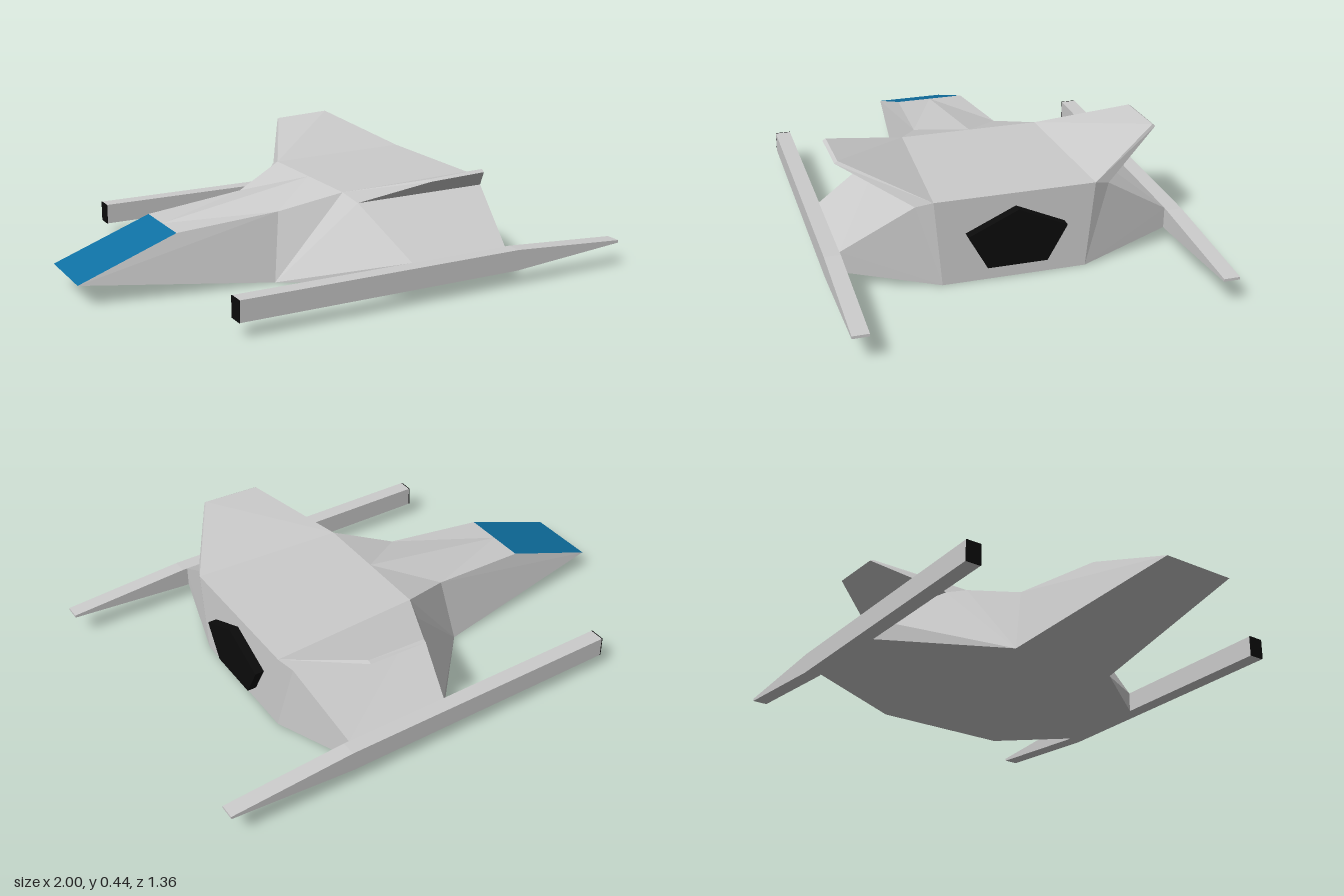
import * as THREE from 'three';
import { ConvexGeometry } from 'three/addons/geometries/ConvexGeometry.js';

const material = (color) => new THREE.MeshStandardMaterial({ color, flatShading: true });
const grey = material(0xcccccc);
const blue = material(0x0f71a3);
const black = material(0x0b0b0b);

// Flat polygons as triangle fans, each triangle turned to face away from `inside`
function faceted(polygons, inside) {
  const positions = [];
  const normal = new THREE.Vector3();
  for (const polygon of polygons) {
    const p = polygon.map((c) => new THREE.Vector3(...c));
    for (let i = 1; i < p.length - 1; i++) {
      const tri = new THREE.Triangle(p[0], p[i], p[i + 1]);
      tri.getNormal(normal);
      const order = normal.dot(p[0].clone().sub(inside)) < 0
        ? [tri.a, tri.c, tri.b] : [tri.a, tri.b, tri.c];
      order.forEach((v) => positions.push(v.x, v.y, v.z));
    }
  }
  const g = new THREE.BufferGeometry();
  g.setAttribute('position', new THREE.Float32BufferAttribute(positions, 3));
  g.computeVertexNormals();
  return g;
}

const mirrored = (polygon) => polygon.map(([x, y, z]) => [x, y, -z]);

// Side profile in x and y, extruded along z
function extrudeProfile(points, depth) {
  const shape = new THREE.Shape(points.map(([x, y]) => new THREE.Vector2(x, y)));
  return new THREE.ExtrudeGeometry(shape, { depth, bevelEnabled: false });
}

export function createModel() {
  const model = new THREE.Group();
  model.name = 'shuttle';
  const add = (name, geometry, mat) => {
    const mesh = new THREE.Mesh(geometry, mat);
    mesh.name = name;
    model.add(mesh);
    return mesh;
  };

  // Hull corners on one side
  const nose = [-1, 0.085, 0.14], windowTop = [-0.62, 0.225, 0.14];
  const waistTop = [-0.22, 0.26, 0.17], waistBottom = [-0.26, 0, 0.22];
  const shoulder = [0, 0.33, 0.27], shoulderRear = [0.59, 0.33, 0.3];
  const rootFront = [0.02, 0.305, 0.35], rootRear = [0.565, 0.31, 0.36];
  const podFrontTop = [0.09, 0.14, 0.62], podFrontBottom = [0.09, 0.06, 0.62];
  const podRearTop = [0.5, 0.14, 0.62], podRearBottom = [0.5, 0.06, 0.62];
  const tailBottom = [0.59, 0, 0.27];
  // Centre line
  const noseMid = [-1, 0.085, 0], ridgeFront = [-0.62, 0.225, 0];
  const ridgeRear = [0, 0.33, 0], tailTopMid = [0.59, 0.33, 0];
  const tailBottomMid = [0.59, 0, 0], bellyMid = [-0.26, 0, 0];

  const half = [
    [nose, waistBottom, waistTop, windowTop], // nose side
    [waistBottom, podFrontBottom, podFrontTop, rootFront, shoulder, waistTop], // front flare
    [rootFront, podFrontTop, podRearTop, rootRear], // sloping flank
    [podFrontTop, podFrontBottom, podRearBottom, podRearTop], // outer edge
    [tailBottom, podRearBottom, podRearTop, rootRear, shoulderRear], // rear flare
    [shoulder, rootFront, rootRear, shoulderRear], // fin root
    [waistTop, windowTop, ridgeFront, ridgeRear, shoulder], // neck top
    [ridgeRear, shoulder, shoulderRear, tailTopMid], // roof
    [tailTopMid, shoulderRear, tailBottom, tailBottomMid], // stern
    [noseMid, nose, waistBottom, bellyMid], // chin
    [bellyMid, waistBottom, tailBottom, tailBottomMid], // belly
    [waistBottom, podFrontBottom, podRearBottom, tailBottom], // wing underside
  ];
  const inside = new THREE.Vector3(0, 0.15, 0);
  add('hull', faceted([...half, ...half.map(mirrored)], inside), grey);

  // Cockpit window across the sloping nose
  add('cockpitWindow', faceted(
    [[nose, windowTop, ...mirrored([windowTop, nose])]], inside), blue);

  // Fins and nacelles on both sides
  const fin = [
    shoulder, shoulderRear, rootFront, rootRear,
    [0.17, 0.435, 0.595], [0.4, 0.445, 0.595],
    [0.17, 0.428, 0.607], [0.4, 0.436, 0.607],
  ];
  const nacelleProfile = [
    [-0.62, 0.06], [0.52, 0.06], [1, 0.097], [1, 0.107], [0.52, 0.14], [-0.62, 0.14],
  ];
  for (const side of [1, -1]) {
    const label = side > 0 ? 'left' : 'right';
    add(label + 'Fin', new ConvexGeometry(
      fin.map(([x, y, z]) => new THREE.Vector3(x, y, z * side))), grey);
    add(label + 'Nacelle', extrudeProfile(nacelleProfile, 0.06), grey)
      .position.z = side * 0.645 - 0.03 + side * 0.004;
    add(label + 'NacelleIntake', new THREE.BoxGeometry(0.004, 0.08, 0.06), black)
      .position.set(-0.622, 0.1, side * 0.649);
  }

  // Five-sided engine plate on the stern
  const engine = add('engine', extrudeProfile(
    [[0, 0.28], [-0.185, 0.195], [-0.112, 0.063], [0.112, 0.063], [0.185, 0.195]], 0.035), black);
  engine.rotation.y = Math.PI / 2;
  engine.position.x = 0.59;

  return model;
}
